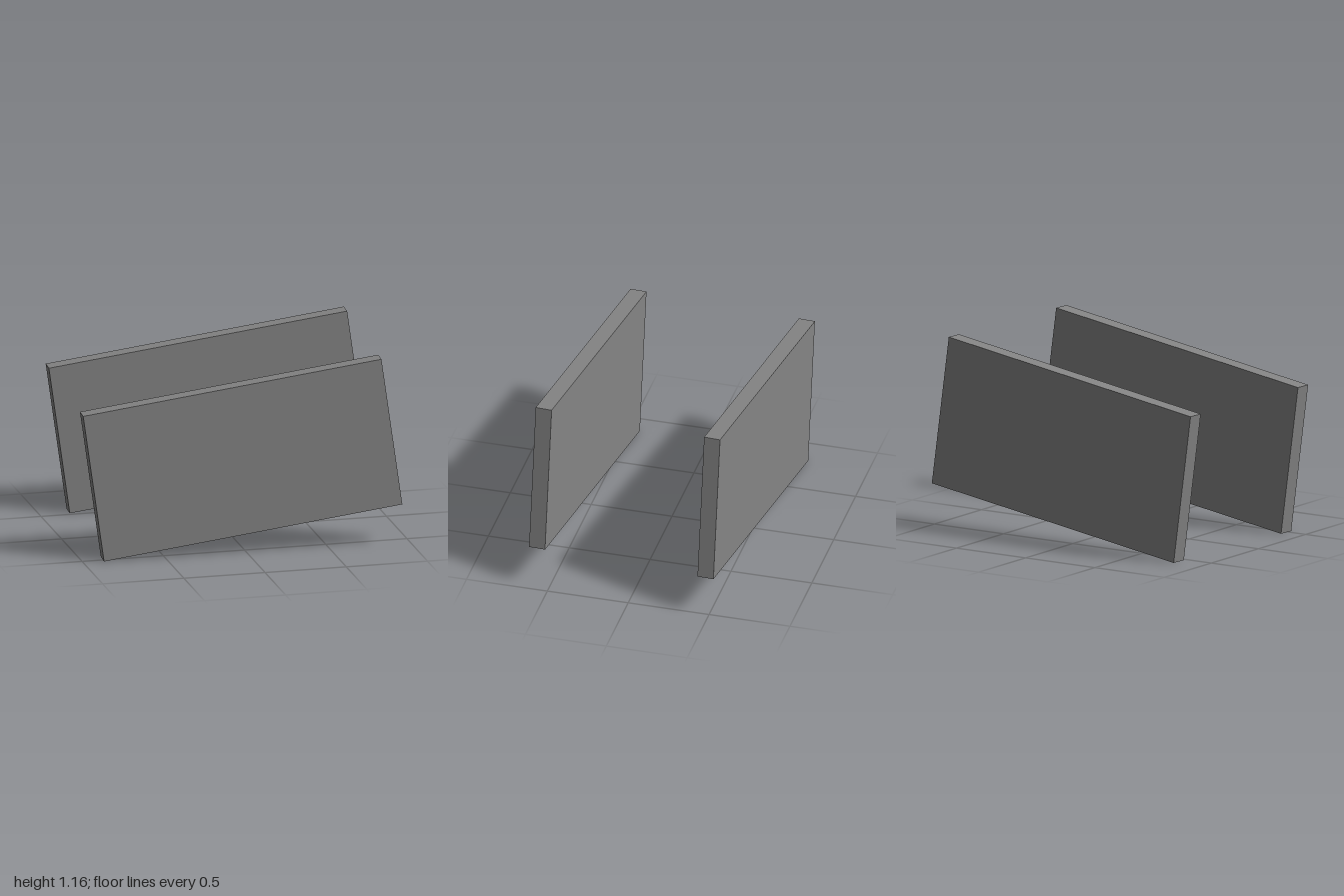
import * as THREE from 'three';

export function createModel() {
  const model = new THREE.Group();
  model.name = 'parallelPanels';
  const material = new THREE.MeshStandardMaterial({ color: 0x858585 });
  const geometry = new THREE.BoxGeometry(1.832, 0.917, 0.1);

  // Both panels share one tilt: raised at the left end, turned slightly about y
  const pair = new THREE.Group();
  pair.name = 'tiltedPair';
  pair.position.y = 0.581;
  pair.rotation.set(0, -0.053, 0.139);

  // Two identical slabs facing each other across a gap
  for (const [name, side] of [['frontPanel', 1], ['backPanel', -1]]) {
    const panel = new THREE.Mesh(geometry, material);
    panel.name = name;
    panel.position.z = side * 0.529;
    pair.add(panel);
  }

  model.add(pair);
  return model;
}
